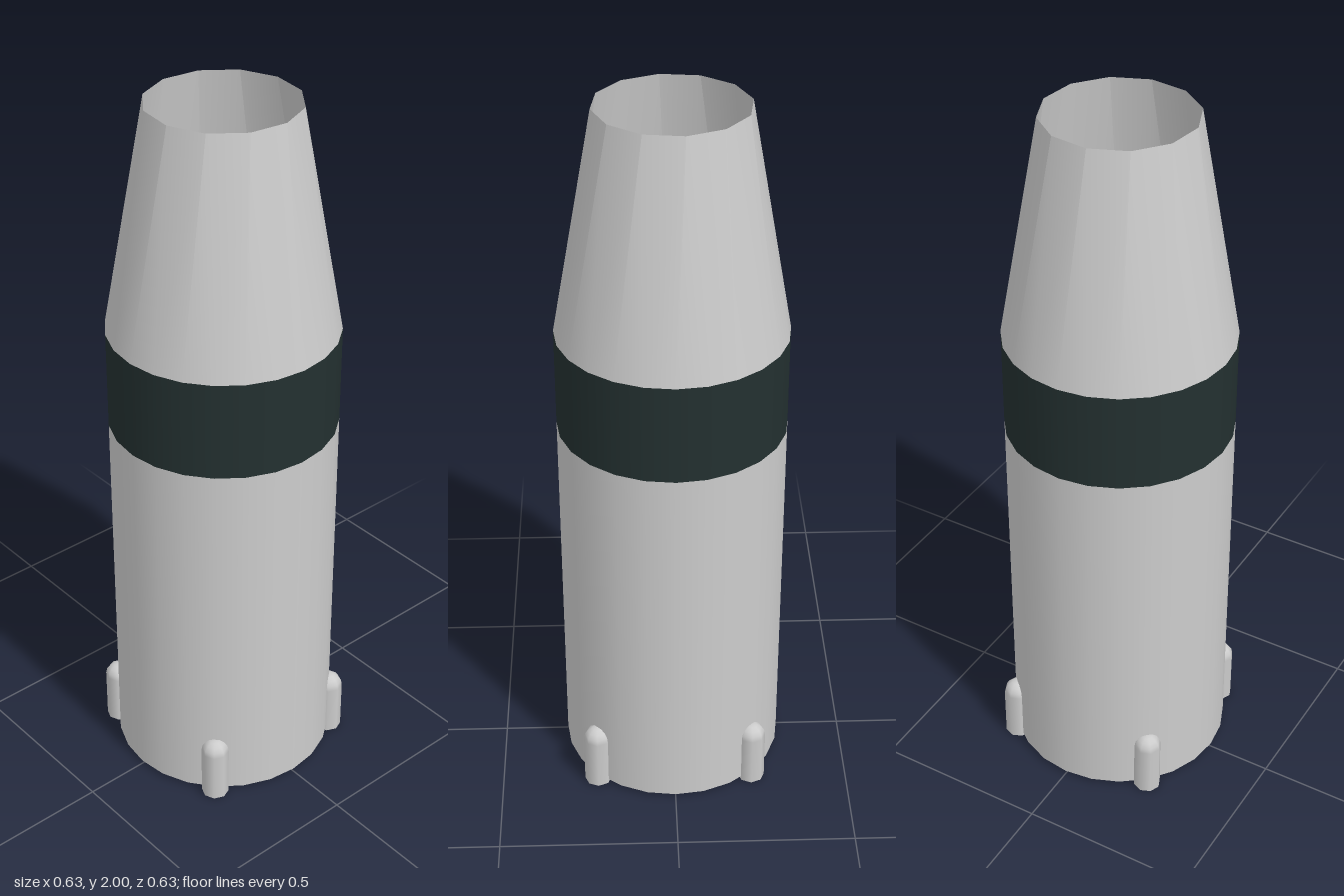
import * as THREE from 'three';
import { mergeGeometries } from 'three/addons/utils/BufferGeometryUtils.js';

const R = 0.315, SIDES = 24;

export function createModel() {
  const model = new THREE.Group();
  model.name = 'boosterStage';
  const shell = new THREE.MeshStandardMaterial({ color: 0xcccccc, side: THREE.DoubleSide });
  shell.name = 'light grey shell';
  const dark = new THREE.MeshStandardMaterial({ color: 0x233030, side: THREE.DoubleSide });
  dark.name = 'dark band';

  const add = (name, geometry, material, y = 0) => {
    const mesh = new THREE.Mesh(geometry, material);
    mesh.name = name;
    mesh.position.y = y;
    model.add(mesh);
    return mesh;
  };
  const tube = (top, bottom, y0, y1) =>
    new THREE.CylinderGeometry(top, bottom, y1 - y0, SIDES, 1, true).translate(0, (y0 + y1) / 2, 0);

  // Open hull and painted band
  add('lowerHull', tube(R, R, 0.01, 1.09), shell);
  add('band', tube(R, R, 1.09, 1.37), dark);

  // Tapered shroud: pairs of rim corners merge into a twelve-sided opening
  const shroud = tube(0.205, R, 1.37, 2);
  const pos = shroud.attributes.position;
  for (let i = 0; i <= SIDES; i++) {
    const a = (i + (i % 2 ? -0.5 : 0.5)) * Math.PI * 2 / SIDES;
    pos.setXYZ(i, 0.205 * Math.sin(a), 2, 0.205 * Math.cos(a));
  }
  add('taperedShroud', shroud, shell);

  // Four round-topped pods straddling the base of the hull
  const r = 0.039, shoulder = 0.152;
  const podGeometry = mergeGeometries([
    new THREE.CylinderGeometry(r, r, shoulder, 8, 1, true).translate(0, shoulder / 2, 0),
    new THREE.SphereGeometry(r, 8, 4, 0, Math.PI * 2, 0, Math.PI / 2).translate(0, shoulder, 0),
    new THREE.CircleGeometry(r, 8).rotateX(Math.PI / 2),
  ]);
  for (const x of [-1, 1]) for (const z of [-1, 1]) {
    const pod = add(`${z > 0 ? 'front' : 'back'}${x > 0 ? 'Left' : 'Right'}Pod`, podGeometry, shell);
    pod.position.set(x * 0.223, 0, z * 0.223);
  }
  return model;
}
